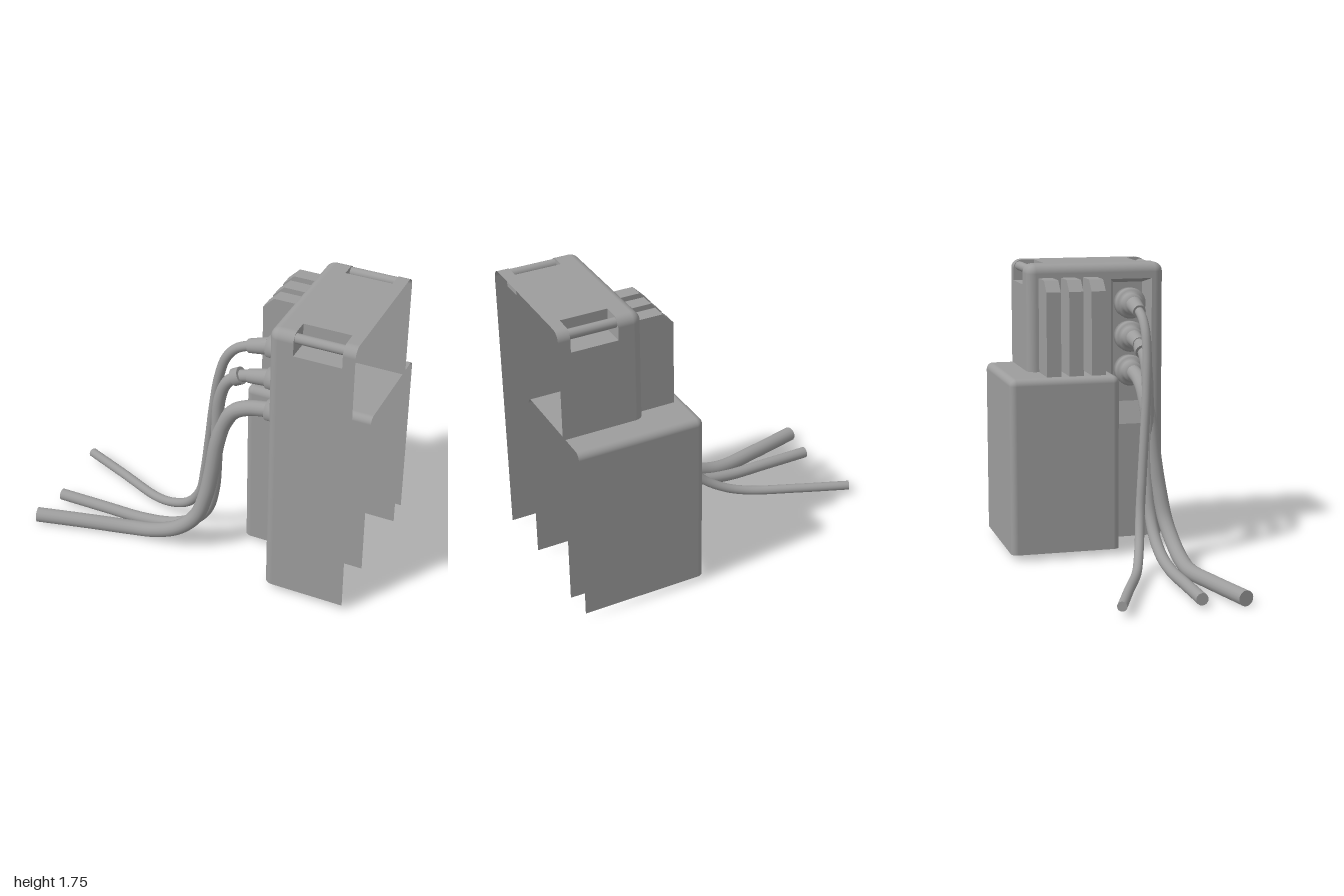
import * as THREE from 'three';
import { RoundedBoxGeometry } from 'three/addons/geometries/RoundedBoxGeometry.js';

const mat = new THREE.MeshStandardMaterial({ color: 0x9d9d9d, side: THREE.DoubleSide });

function add(parent, name, geometry) {
  const mesh = new THREE.Mesh(geometry, mat);
  mesh.name = name;
  parent.add(mesh);
  return mesh;
}

// Rounded thin shell, open at +x and at the bottom; dropSide also removes the flat -x panel
function shell(x0, x1, y0, y1, z0, z1, r, dropSide) {
  const box = new RoundedBoxGeometry(x1 + r - x0, y1 - y0 + r, z1 - z0, 5, r);
  box.translate((x0 + x1 + r) / 2, (y0 - r + y1) / 2, (z0 + z1) / 2);
  const p = box.attributes.position, n = box.attributes.normal;
  const pos = [], nor = [], e = 1e-4;
  for (let i = 0; i < p.count; i += 3) {
    const xs = [0, 1, 2].map(k => p.getX(i + k));
    const ys = [0, 1, 2].map(k => p.getY(i + k));
    if (Math.max(...xs) > x1 + e || Math.min(...ys) < y0 - e) continue;
    if (dropSide && Math.max(...xs) < x0 + e) continue;
    for (let k = i; k < i + 3; k++) {
      pos.push(p.getX(k), p.getY(k), p.getZ(k));
      nor.push(n.getX(k), n.getY(k), n.getZ(k));
    }
  }
  const g = new THREE.BufferGeometry();
  g.setAttribute('position', new THREE.Float32BufferAttribute(pos, 3));
  g.setAttribute('normal', new THREE.Float32BufferAttribute(nor, 3));
  return g;
}

// Sheet swept along x from profile points [z, y, normalZ, normalY]
function strip(profile, x0, x1) {
  const pos = [], nor = [], idx = [];
  profile.forEach(([z, y, nz, ny], i) => {
    pos.push(x0, y, z, x1, y, z);
    nor.push(0, ny, nz, 0, ny, nz);
    if (i) { const a = 2 * i - 2; idx.push(a, a + 2, a + 1, a + 1, a + 2, a + 3); }
  });
  const g = new THREE.BufferGeometry();
  g.setAttribute('position', new THREE.Float32BufferAttribute(pos, 3));
  g.setAttribute('normal', new THREE.Float32BufferAttribute(nor, 3));
  g.setIndex(idx.reverse());
  return g;
}

// Flat faces from four-corner lists
function quads(list) {
  const pos = list.flatMap(([a, b, c, d]) => [a, b, c, a, c, d].flat());
  const g = new THREE.BufferGeometry();
  g.setAttribute('position', new THREE.Float32BufferAttribute(pos, 3));
  g.computeVertexNormals();
  return g;
}

function cylinderBetween(a, b, rA, rB) {
  const dir = b.clone().sub(a);
  const g = new THREE.CylinderGeometry(rB, rA, dir.length(), 20);
  g.applyQuaternion(new THREE.Quaternion().setFromUnitVectors(new THREE.Vector3(0, 1, 0), dir.clone().normalize()));
  const m = a.clone().add(b).multiplyScalar(0.5);
  return g.translate(m.x, m.y, m.z);
}

function rect(u0, v0, u1, v1, T = THREE.Shape) {
  return new T([[u0, v0], [u1, v0], [u1, v1], [u0, v1]].map(q => new THREE.Vector2(...q)));
}

const X0 = 0.51, X1 = 1, Y0 = 0.037, Y1 = 1.75, ZC = 0.05, HZ = 0.4275, R = 0.055;
const NX0 = 0.655, NX1 = 0.93, NY = 1.622, NZ = HZ - 0.13;   // handle notch limits
const PZ = 0.264;                                            // plug row

function cover() {
  const group = new THREE.Group();
  group.name = 'cover';
  group.position.z = ZC;
  add(group, 'coverShell', shell(X0, NX0, Y0, Y1, -HZ, HZ, R, true));

  // Side panel with opening for the socket recess
  const z0 = 0.14 - ZC, z1 = 0.4 - ZC, y0 = 0.755, y1 = 1.655;
  const panel = rect(-HZ + R, Y0, HZ - R, Y1 - R);
  panel.holes.push(rect(z0, y0, z1, y1, THREE.Path));
  const pg = new THREE.ShapeGeometry(panel).rotateY(-Math.PI / 2);
  add(group, 'sidePanel', pg.translate(X0, 0, 0));
  const outer = [[z0, y0], [z1, y0], [z1, y1], [z0, y1]].map(([z, y]) => [X0, y, z]);
  const inner = [[0.17, 0.89], [0.355, 0.89], [0.355, 1.63], [0.17, 1.63]].map(([z, y]) => [X0 + 0.06, y, z - ZC]);
  const faces = outer.map((o, i) => [o, outer[(i + 1) % 4], inner[(i + 1) % 4], inner[i]]);
  add(group, 'socketRecess', quads([...faces, inner]));

  // Arched section beyond the notches
  const arch = [[HZ, Y0, 1, 0]];
  for (const s of [1, -1]) {
    for (let i = 0; i <= 8; i++) {
      const a = (s > 0 ? i : 8 - i) / 8 * Math.PI / 2, c = Math.cos(a), n = Math.sin(a);
      arch.push([s * (HZ - R + R * c), Y1 - R + R * n, s * c, n]);
    }
  }
  arch.push([-HZ, Y0, -1, 0]);
  add(group, 'openEdge', strip(arch, NX1, X1));
  add(group, 'topPanel', strip([[NZ, Y1, 0, 1], [-NZ, Y1, 0, 1]], NX0, NX1));

  // Handle notches, mirrored front and back
  for (const s of [1, -1]) {
    const notch = new THREE.Group();
    notch.name = s > 0 ? 'frontHandle' : 'backHandle';
    notch.scale.z = s;
    add(notch, 'wall', strip([[HZ, Y0, 1, 0], [HZ, NY, 1, 0]], NX0, NX1));
    add(notch, 'notchFloor', strip([[HZ, NY, 0, 1], [NZ, NY, 0, 1]], NX0, NX1));
    add(notch, 'notchBack', strip([[NZ, NY, 1, 0], [NZ, Y1, 1, 0]], NX0, NX1));
    const end = new THREE.Shape();
    end.moveTo(NZ, NY).lineTo(HZ, NY).lineTo(HZ, Y1 - R);
    end.absarc(HZ - R, Y1 - R, R, 0, Math.PI / 2, false).lineTo(NZ, Y1);
    for (const x of [NX0, NX1]) {
      const g = new THREE.ShapeGeometry(end).rotateY(-Math.PI / 2);
      add(notch, 'notchEnd', g.translate(x, 0, 0));
    }
    const y = 1.712, z = HZ - 0.038;
    add(notch, 'handleBar', cylinderBetween(new THREE.Vector3(NX0, y, z), new THREE.Vector3(NX1, y, z), 0.028, 0.028));
    group.add(notch);
  }
  return group;
}

function cable(name, plugY, radius, pts, sleeve) {
  const group = new THREE.Group();
  group.name = name;
  const v = pts.map(p => new THREE.Vector3(...p));
  add(group, 'cord', new THREE.TubeGeometry(new THREE.CatmullRomCurve3(v), 90, radius, 16));
  const end = v[v.length - 1], tip = end.clone().lerp(v[v.length - 2], 0.02);
  add(group, 'cordEnd', cylinderBetween(tip, end, radius, radius));
  // Stepped round plug
  const profile = [[0, -0.055], [0.092, -0.055], [0.095, 0.008], [0.082, 0.02], [0.064, 0.026], [0.062, 0.085], [0, 0.085]];
  const plug = profile.map(q => new THREE.Vector2(...q));
  const g = new THREE.LatheGeometry(plug, 28).rotateZ(Math.PI / 2);
  add(group, 'plug', g.translate(X0, plugY, PZ));
  if (sleeve) add(group, 'sleeve', cylinderBetween(v[0], v[1], 0.05, 0.04));
  return group;
}

export function createModel() {
  const model = new THREE.Group();
  model.add(cover());
  add(model, 'rearHousing', shell(0.23, 0.985, Y0, 1.1, -0.546, 0.124, 0.04, false));

  // Cooling fins
  const fin = new THREE.Shape([[0.295, 1.08], [0.51, 1.08], [0.51, 1.67], [0.36, 1.67], [0.295, 1.605]].map(q => new THREE.Vector2(...q)));
  for (const z of [-0.31, -0.172, -0.035]) {
    const g = new THREE.ExtrudeGeometry(fin, { depth: 0.087, bevelEnabled: false });
    add(model, 'fin', g.translate(0, 0, z));
  }

  // Cables from top to bottom socket
  model.add(cable('thinCable', 1.505, 0.028, [
    [0.43, 1.505, PZ], [0.31, 1.475, PZ], [0.23, 1.435, PZ], [0.17, 1.36, PZ], [0.125, 1.22, 0.26],
    [0.085, 1.0, 0.245], [0.045, 0.74, 0.22], [0.005, 0.5, 0.195], [-0.04, 0.31, 0.172], [-0.13, 0.18, 0.143],
    [-0.26, 0.1, 0.1], [-0.4, 0.062, 0.05], [-0.7, 0.057, -0.078], [-0.99, 0.057, -0.197]], true));
  model.add(cable('mediumCable', 1.3, 0.035, [
    [0.43, 1.3, PZ], [0.31, 1.28, PZ], [0.24, 1.255, PZ], [0.17, 1.19, PZ], [0.13, 1.07, PZ],
    [0.115, 0.85, PZ], [0.108, 0.62, PZ], [0.095, 0.44, PZ], [0.055, 0.28, PZ], [-0.03, 0.17, PZ],
    [-0.18, 0.088, PZ], [-0.38, 0.052, PZ], [-0.65, 0.05, PZ], [-0.95, 0.05, PZ]], true));
  add(model, 'cableNut', cylinderBetween(new THREE.Vector3(0.265, 1.27, PZ), new THREE.Vector3(0.22, 1.245, PZ), 0.05, 0.05));
  model.add(cable('thickCable', 1.09, 0.045, [
    [0.43, 1.09, PZ], [0.31, 1.065, PZ], [0.22, 1.015, PZ], [0.16, 0.92, 0.268], [0.125, 0.79, 0.283],
    [0.097, 0.58, 0.303], [0.07, 0.42, 0.323], [0.015, 0.26, 0.343], [-0.1, 0.145, 0.358], [-0.26, 0.075, 0.363],
    [-0.4, 0.05, 0.37], [-0.66, 0.047, 0.425], [-0.985, 0.047, 0.503]], false));
  return model;
}
